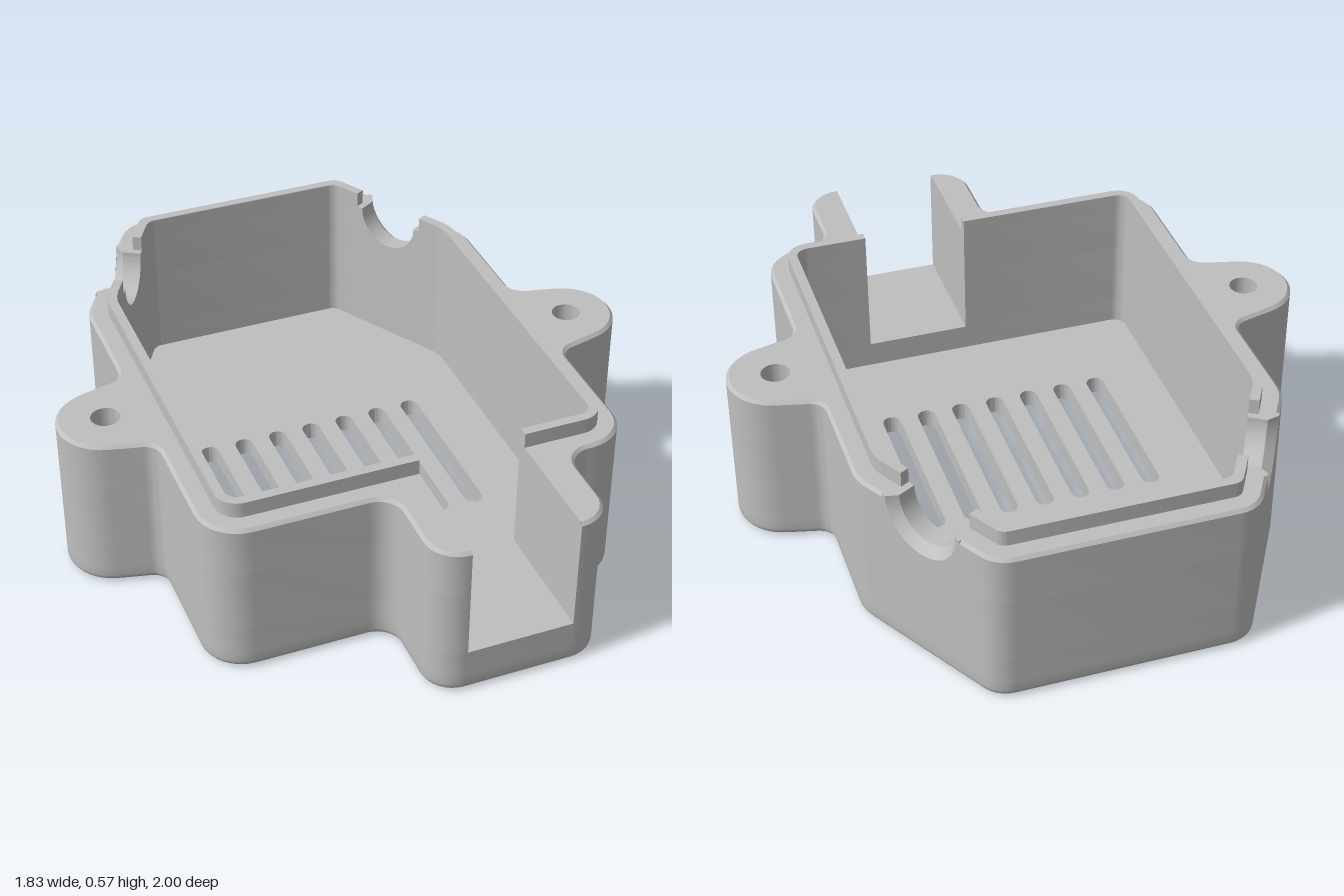
import * as THREE from 'three';
import { toCreasedNormals } from 'three/addons/utils/BufferGeometryUtils.js';

const FLOOR = 0.06, CHANNEL_FLOOR = 0.145, NOTCH_BASE = 0.36, TOP = 0.52, LIP_TOP = 0.57;
const WALL = 0.09, LIP_OFFSET = 0.06, BEVEL = 0.01, NOTCH_HALF = 0.15;
const EAR_X = 0.765, EAR_Z = 0.03;
const NX = Math.sin(Math.PI / 3), NZ = -0.5;              // outward normal of the slanted wall
const SLANT = NX * 0.66 + NZ * -0.53;                     // its distance from the centre
const NOTCH_Z = -0.7525, NOTCH_X = (SLANT - NZ * NOTCH_Z) / NX;

// Rounds the corners of an open path of [x, z, radius] points
function rounded(verts) {
  const out = [];
  verts.forEach(([x, z, r], i) => {
    const p = new THREE.Vector2(x, z);
    if (!r) { out.push(p); return; }
    const a = new THREE.Vector2(...verts[i - 1].slice(0, 2)).sub(p).normalize();
    const b = new THREE.Vector2(...verts[i + 1].slice(0, 2)).sub(p).normalize();
    const half = Math.acos(a.dot(b)) / 2;
    const t = r / Math.tan(half);
    const centre = a.clone().add(b).normalize().multiplyScalar(r / Math.sin(half)).add(p);
    const from = a.multiplyScalar(t).add(p).sub(centre), to = b.multiplyScalar(t).add(p).sub(centre);
    const turn = Math.atan2(from.cross(to), from.dot(to));
    for (let k = 0; k <= 8; k++) {
      out.push(from.clone().rotateAround(new THREE.Vector2(), turn * k / 8).add(centre));
    }
  });
  return out;
}

// Moves an open path inwards
function inset(path, d) {
  const normal = (a, b) => new THREE.Vector2(a.y - b.y, b.x - a.x).normalize();
  return path.map((p, i) => {
    const n0 = normal(path[Math.max(i - 1, 0)], path[Math.max(i, 1)]);
    const n1 = normal(path[Math.min(i, path.length - 2)], path[Math.min(i + 1, path.length - 1)]);
    const n = n0.clone().add(n1).normalize();
    return p.clone().addScaledVector(n, -d / Math.max(n.dot(n0), 0.5));
  });
}

const mirror = path => path.map(p => new THREE.Vector2(-p.x, p.y)).reverse();

// Corners of the plain body, d inside the outer wall
function bodyCorners(d, half) {
  const x = 0.66 - d, back = -1 + d;
  const end = s => [NOTCH_X - d * NX + s * half * 0.5, NOTCH_Z - d * NZ + s * half * NX];
  return {
    front: [x, 0.685 - d, Math.max(0.13 - d, 0.04)],
    side: [x, (SLANT - d - NX * x) / NZ, 0.15],
    back: [(SLANT - d - NZ * back) / NX, back, Math.max(0.1 - d, 0.04)],
    notchFront: end(1), notchBack: end(-1),
  };
}

function backPath(d, half) {
  const c = bodyCorners(d, half), flip = ([x, z, r]) => [-x, z, r];
  return rounded([c.notchBack, c.back, flip(c.back), flip(c.notchBack)]);
}

// Plain side from the cable channel to the notch, for cavity and lip
function plainSide(d, half, channelX) {
  const c = bodyCorners(d, half);
  return rounded([[channelX, c.front[1]], c.front, c.side, c.notchFront]);
}

// Outer side with the cable tab and the screw ear
function outerSide(channelX, tabX) {
  const c = bodyCorners(0, NOTCH_HALF), ear = [];
  for (let k = 0; k <= 20; k++) {
    const a = THREE.MathUtils.degToRad(76 - 7.6 * k);
    ear.push([EAR_X + 0.15 * Math.cos(a), EAR_Z + 0.15 * Math.sin(a)]);
  }
  return rounded([[channelX, 1], [tabX, 1, 0.1], [tabX, 0.685, 0.075], c.front,
    [0.66, EAR_Z + 0.18, 0.055], ...ear, [0.66, EAR_Z - 0.18, 0.055], c.side, c.notchFront]);
}

const toShape = pts => new THREE.Shape(pts.map(p => new THREE.Vector2(p.x, -p.y)));
const between = (outer, inner) => toShape([...outer, ...[...inner].reverse()]);

function circle(x, z, r) {
  return new THREE.Path().absarc(x, -z, r, 0, Math.PI * 2, true);
}

// Upright slab from a plan shape
function slab(shape, y0, y1) {
  const g = new THREE.ExtrudeGeometry(shape, { depth: y1 - y0, bevelEnabled: false, curveSegments: 16 });
  g.rotateX(-Math.PI / 2).translate(0, y0, 0);
  return toCreasedNormals(g, 0.5);
}

// Strip that follows a path through [inset, y] steps
function skin(path, steps) {
  const pos = [];
  const rings = steps.map(([d, y]) => inset(path, d).map(p => [p.x, y, p.y]));
  for (let j = 0; j < rings.length - 1; j++) {
    for (let i = 0; i < path.length - 1; i++) {
      const a = rings[j][i], b = rings[j][i + 1], c = rings[j + 1][i + 1], d = rings[j + 1][i];
      pos.push(...a, ...b, ...c, ...a, ...c, ...d);
    }
  }
  const g = new THREE.BufferGeometry();
  g.setAttribute('position', new THREE.Float32BufferAttribute(pos, 3));
  g.computeVertexNormals();
  return toCreasedNormals(g, 0.5);
}

// Block with a half-round cut; the front radius may flare
function notchBlock(z0, z1, flare) {
  const r = 0.11, s = new THREE.Shape();
  s.moveTo(-NOTCH_HALF, 0).lineTo(-NOTCH_HALF, NOTCH_BASE - TOP);
  s.lineTo(NOTCH_HALF, NOTCH_BASE - TOP).lineTo(NOTCH_HALF, 0).lineTo(r, 0);
  s.absarc(0, 0, r, 0, -Math.PI, true);
  const g = new THREE.ExtrudeGeometry(s, { depth: z1 - z0, bevelEnabled: false, curveSegments: 24 });
  const p = g.attributes.position;
  for (let i = 0; i < p.count; i++) {
    const x = p.getX(i), y = p.getY(i);
    if (p.getZ(i) > 0.001 && Math.hypot(x, y) < r + 0.001) p.setXY(i, x * flare / r, y * flare / r);
  }
  g.translate(0, 0, z0).computeVertexNormals();
  return toCreasedNormals(g, 0.5);
}

export function createModel() {
  const group = new THREE.Group();
  const grey = new THREE.MeshStandardMaterial({ color: 0xbfbfbf });
  grey.name = 'grey plastic';
  const add = (name, geometry) => {
    const m = new THREE.Mesh(geometry, grey);
    m.name = name;
    group.add(m);
    return m;
  };

  // Plan paths, running from the channel's left edge round the back to its right edge
  const left = outerSide(0.335, 0.44), right = mirror(outerSide(0, 0.105));
  const back = backPath(0, NOTCH_HALF);
  const outline = [...left, ...back, ...right];
  const cavLeft = plainSide(WALL, NOTCH_HALF, 0.335), cavRight = mirror(plainSide(WALL, NOTCH_HALF, 0));
  const cavBack = backPath(WALL, NOTCH_HALF);
  const cavity = [...cavLeft, ...cavBack, ...cavRight];
  const earHoles = r => [circle(EAR_X, EAR_Z, r), circle(-EAR_X, EAR_Z, r)];

  // Floor with vent slots and wide screw recesses
  const floor = toShape(inset(outline, 0.025));
  floor.holes.push(...earHoles(0.075));
  for (let i = -3; i <= 3; i++) {
    const slot = new THREE.Path(), x = i * 0.118, r = 0.029;
    slot.absarc(x, 0.261, r, 0, Math.PI, false);
    slot.absarc(x, -0.261, r, Math.PI, Math.PI * 2, false);
    slot.closePath();
    floor.holes.push(slot);
  }
  add('floor', slab(floor, 0, FLOOR));
  const fillet = [0, 1, 2, 3, 4].map(k => {
    const a = k * Math.PI / 8;
    return [0.025 * (1 - Math.sin(a)), 0.025 * (1 - Math.cos(a))];
  });
  add('bottomEdge', skin([...outline, outline[0]], [...fillet, [0, FLOOR]]));

  // Closed lower wall, then the wall opened by the channel
  const lower = toShape(outline);
  lower.holes.push(new THREE.Path(cavity.map(p => new THREE.Vector2(p.x, -p.y))), ...earHoles(0.075));
  add('lowerWall', slab(lower, FLOOR, CHANNEL_FLOOR));
  const middle = between(outline, cavity);
  middle.holes.push(...earHoles(0.045));
  add('middleWall', slab(middle, CHANNEL_FLOOR, NOTCH_BASE));

  // Upper wall in three pieces between channel and notches, with a bevelled top edge
  const pieces = [['left', left, cavLeft, 1], ['back', back, cavBack, 0], ['right', right, cavRight, -1]];
  for (const [name, outer, inner, ear] of pieces) {
    const holes = ear ? [circle(ear * EAR_X, EAR_Z, 0.045)] : [];
    const wall = between(outer, inner), cap = between(inset(outer, BEVEL), inner);
    wall.holes.push(...holes);
    cap.holes.push(...holes);
    add(name + 'UpperWall', slab(wall, NOTCH_BASE, TOP - BEVEL));
    add(name + 'WallTop', slab(cap, TOP - BEVEL, TOP));
    add(name + 'TopEdge', skin(outer, [[0, TOP - BEVEL], [BEVEL, TOP]]));
  }

  // Raised lip round the cavity
  const lipHalf = 0.132;
  const lipPaths = d => [plainSide(d, lipHalf, 0.335), backPath(d, lipHalf), mirror(plainSide(d, lipHalf, 0))];
  const lipInner = lipPaths(WALL);
  lipPaths(LIP_OFFSET).forEach((outer, i) => {
    add(['left', 'back', 'right'][i] + 'Lip', slab(between(outer, lipInner[i]), TOP, LIP_TOP));
  });

  // Half-round cable notches in the slanted walls
  for (const s of [1, -1]) {
    for (const g of [notchBlock(-WALL, -0.03, 0.11), notchBlock(-0.03, 0, 0.137)]) {
      const m = add(s > 0 ? 'leftNotch' : 'rightNotch', g);
      m.position.set(s * NOTCH_X, TOP, NOTCH_Z);
      m.rotation.y = s * Math.PI * 2 / 3;
    }
  }
  return group;
}
